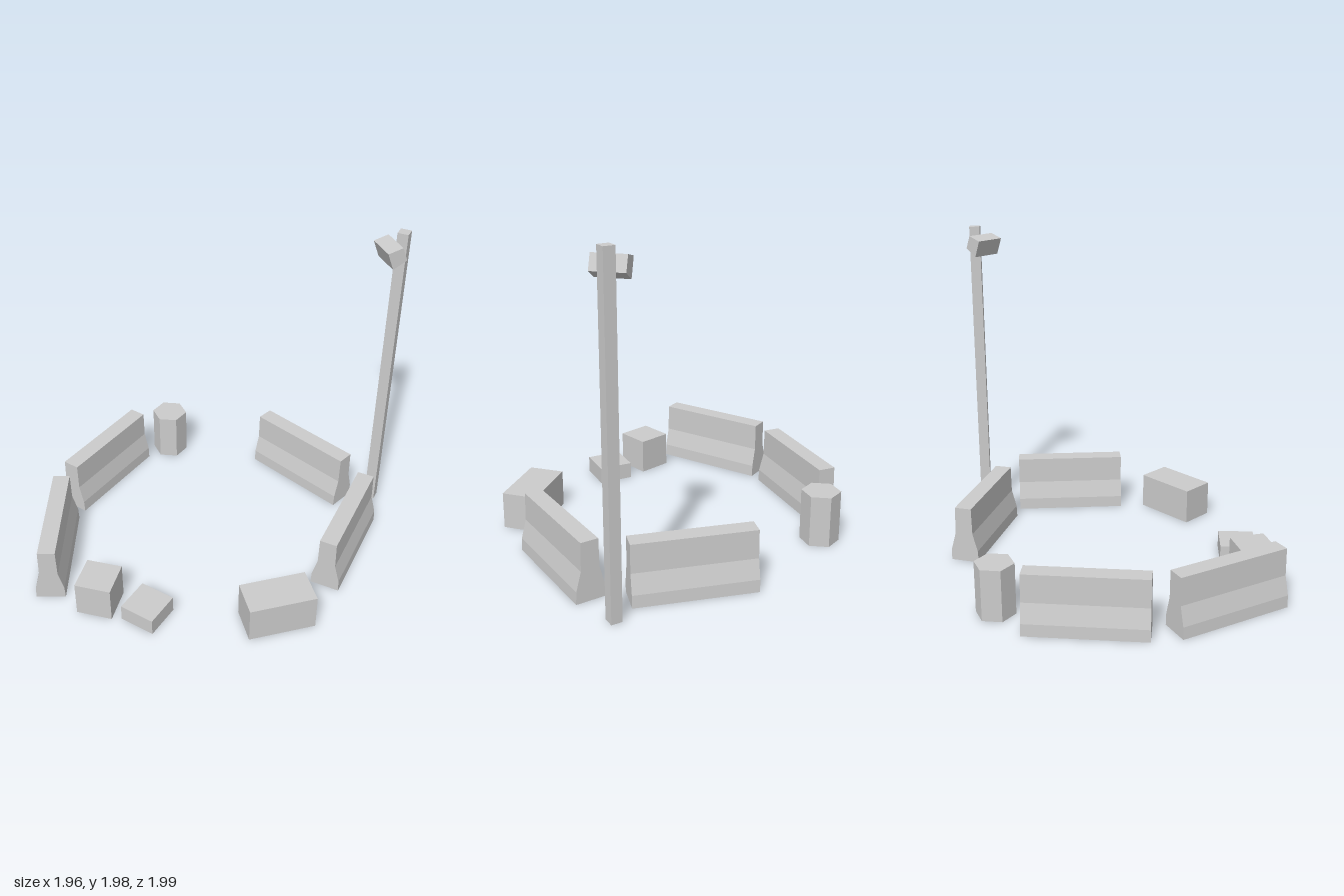
import * as THREE from 'three';

const material = new THREE.MeshStandardMaterial({ color: 0xcccccc, flatShading: true, side: THREE.DoubleSide });

// Stands a geometry on y = 0 and removes its underside, leaving a hollow shell
function openShell(source) {
  const geo = source.index ? source.toNonIndexed() : source;
  geo.computeBoundingBox();
  geo.translate(0, -geo.boundingBox.min.y, 0);
  const p = geo.attributes.position;
  const kept = [];
  for (let i = 0; i < p.count; i += 3) {
    if ([0, 1, 2].every(k => p.getY(i + k) < 1e-5)) continue;
    for (let k = 0; k < 3; k++) kept.push(p.getX(i + k), p.getY(i + k), p.getZ(i + k));
  }
  const shell = new THREE.BufferGeometry();
  shell.setAttribute('position', new THREE.Float32BufferAttribute(kept, 3));
  shell.computeVertexNormals();
  return shell;
}

// Extrudes a profile along z, centred on its length
function extrude(points, length) {
  const shape = new THREE.Shape(points.map(([x, y]) => new THREE.Vector2(x, y)));
  return new THREE.ExtrudeGeometry(shape, { depth: length, bevelEnabled: false }).translate(0, 0, -length / 2);
}

export function createModel() {
  const model = new THREE.Group();
  model.name = 'roadblock';

  function add(name, geometry, x, y, z, turn = 0) {
    const mesh = new THREE.Mesh(geometry, material);
    mesh.name = name;
    mesh.position.set(x, y, z);
    mesh.rotation.y = turn;
    model.add(mesh);
  }

  // Concrete barriers: stepped profile, mirrored
  const half = [[0.09, 0], [0.087, 0.075], [0.056, 0.19], [0.053, 0.36]];
  const profile = [...half, ...half.map(([x, y]) => [-x, y]).reverse()];
  const barrier = openShell(extrude(profile, 0.715));
  add('rightSideBarrier', barrier, 0.883, 0, -0.242, 0.02);
  add('backBarrier', barrier, 0.358, 0, -0.808, 1.266);
  add('leftSideBarrier', barrier, -0.845, 0, -0.17, -0.137);
  add('frontCornerBarrier', barrier, -0.726, 0, 0.632, 0.457);

  // Crates
  const crates = [
    ['longCrate', 0.41, 0.23, 0.221, 0.733, 0.495, 0.73],
    ['cubeCrate', 0.22, 0.225, 0.22, -0.274, 0.856, 0.21],
    ['flatCrate', 0.222, 0.105, 0.222, 0.029, 0.811, -0.09],
  ];
  for (const [name, w, h, d, x, z, turn] of crates) {
    add(name, openShell(new THREE.BoxGeometry(w, h, d)), x, 0, z, turn);
  }

  // Six-sided drum
  add('drum', openShell(new THREE.CylinderGeometry(0.118, 0.118, 0.32, 6)), -0.624, 0, -0.683, -0.157);

  // Lamp post
  add('lampPost', openShell(new THREE.BoxGeometry(0.066, 1.98, 0.066)), 0.861, 0, -0.838);

  // Floodlight: tilted wedge facing the middle
  const head = [[0, 0], [-0.092, 0.025], [-0.126, -0.058], [-0.042, -0.105]];
  add('floodlight', extrude(head, 0.187), 0.762, 1.905, -0.735, -Math.PI * 0.75);

  return model;
}
